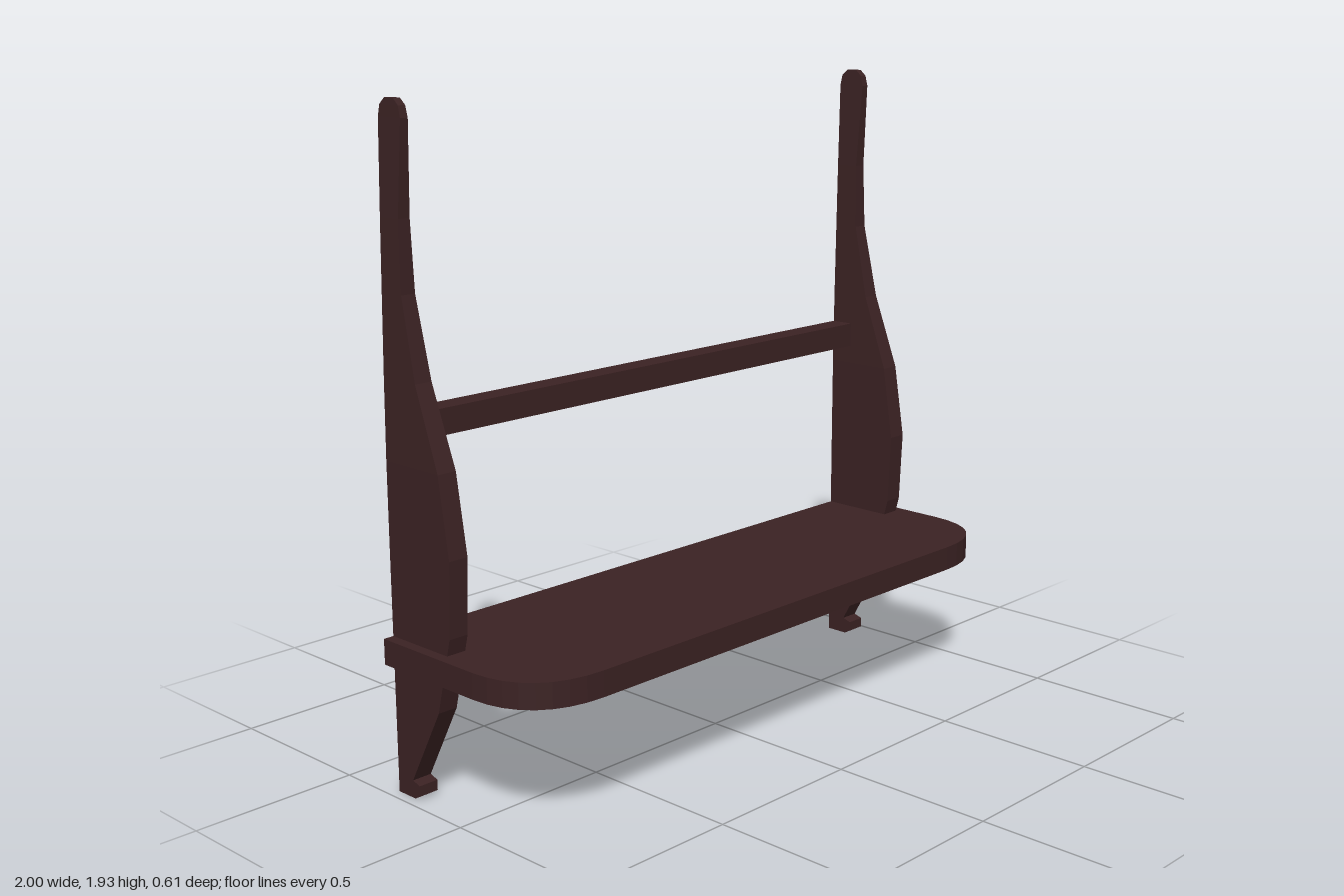
import * as THREE from 'three';

const BACK = -0.307;
const wood = new THREE.MeshStandardMaterial({ color: 0x3b2223 });
wood.name = 'dark brown wood';

// Bracket cross-sections from foot to tip: y, front z, back z, half thickness
const SECTIONS = [
  [0, -0.235, BACK, 0.031], [0.012, -0.214, BACK, 0.031],
  [0.043, -0.214, BACK, 0.031], [0.052, -0.243, BACK, 0.031],
  [0.285, -0.117, BACK, 0.031], [0.51, -0.06, BACK, 0.031],
  [0.73, -0.05, BACK, 0.031], [0.96, -0.087, BACK, 0.0305],
  [1.19, -0.173, BACK, 0.0275], [1.42, -0.224, BACK, 0.023],
  [1.62, -0.23, BACK, 0.019], [1.88, -0.214, BACK, 0.0125],
  [1.912, -0.222, -0.3, 0.0118], [1.93, -0.242, -0.28, 0.0112],
];

// Joins the rectangular sections into a closed, flat-sided board
function bracketGeometry() {
  const rings = SECTIONS.map(([y, f, b, h]) =>
    [[-h, y, f], [h, y, f], [h, y, b], [-h, y, b]]);
  const pos = [];
  const quad = (a, b, c, d) => pos.push(...a, ...b, ...c, ...a, ...c, ...d);
  for (let i = 0; i < rings.length - 1; i++) {
    const lo = rings[i], hi = rings[i + 1];
    for (let j = 0; j < 4; j++) {
      const k = (j + 1) % 4;
      quad(lo[j], lo[k], hi[k], hi[j]);
    }
  }
  quad(...rings[rings.length - 1]);
  quad(...[...rings[0]].reverse());
  const geo = new THREE.BufferGeometry();
  geo.setAttribute('position', new THREE.Float32BufferAttribute(pos, 3));
  geo.computeVertexNormals();
  return geo;
}

// Shelf outline, drawn with -z as shape y, then laid flat
function shelfGeometry() {
  const front = -0.307;
  const s = new THREE.Shape();
  s.moveTo(-1, -BACK);
  s.lineTo(-1, -0.07);
  s.bezierCurveTo(-1, -0.22, -0.91, front, -0.75, front);
  s.lineTo(0.75, front);
  s.bezierCurveTo(0.91, front, 1, -0.22, 1, -0.07);
  s.lineTo(1, -BACK);
  s.closePath();
  const geo = new THREE.ExtrudeGeometry(s, { depth: 0.075, bevelEnabled: false, curveSegments: 8 });
  geo.rotateX(-Math.PI / 2);
  return geo;
}

export function createModel() {
  const model = new THREE.Group();
  model.name = 'wallShelf';
  const add = (name, geo, x, y, z) => {
    const mesh = new THREE.Mesh(geo, wood);
    mesh.name = name;
    mesh.position.set(x, y, z);
    model.add(mesh);
  };

  // Side brackets
  const bracket = bracketGeometry();
  add('leftBracket', bracket, 0.937, 0, 0);
  add('rightBracket', bracket, -0.937, 0, 0);

  // Shelf board with rounded front corners
  add('shelfBoard', shelfGeometry(), 0, 0.386, 0);

  // Back rail between the brackets
  add('backRail', new THREE.BoxGeometry(1.84, 0.076, 0.074), 0, 1.056, BACK + 0.037);
  return model;
}
